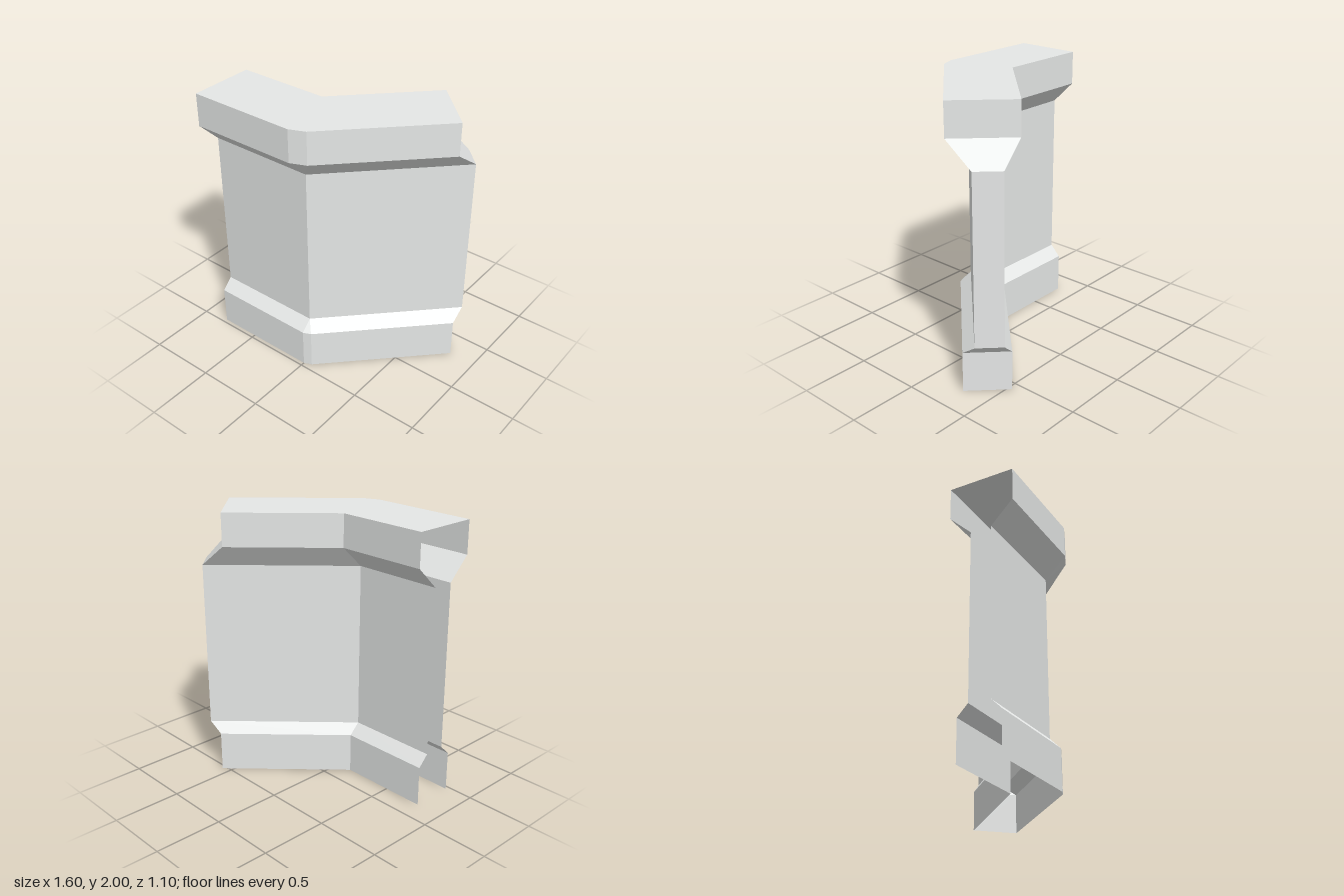
import * as THREE from 'three';

const FRONT = 0.39, END = 0.8;

// Plan outline of the bent wall: f is the push at the front,
// backZ the back of the straight run, w the x and z extent of the diagonal end
function outline(f, backZ, w) {
  const d = f * Math.SQRT1_2;
  const endZ = FRONT + f * Math.SQRT2 - END;
  const endX = END - w;
  return [
    [-END, backZ],                              // back, straight end
    [endX + (endZ - w) - backZ, backZ],         // back mitre
    [endX, endZ - w],                           // back, diagonal end
    [END, endZ],                                // front, diagonal end
    [d, FRONT + d], [0, FRONT + f],             // clipped front corner
    [-END, FRONT + f],                          // front, straight end
  ];
}

// Shell between two outlines; open at the straight end and underneath
function shell(lo, y0, hi, y1, topped) {
  const pos = [];
  const tri = (...pts) => pts.forEach(p => pos.push(...p));
  const same = (p, q) => Math.hypot(p[0] - q[0], p[2] - q[2]) < 1e-6;
  const A = lo.map(([x, z]) => [x, y0, z]);
  const B = hi.map(([x, z]) => [x, y1, z]);
  for (let i = 0; i < 6; i++) {
    if (!same(B[i], B[i + 1])) tri(A[i], B[i], B[i + 1]);
    if (!same(A[i], A[i + 1])) tri(A[i], B[i + 1], A[i + 1]);
  }
  if (topped) {
    for (const t of [[0, 6, 5], [0, 5, 1], [1, 5, 4], [1, 4, 3], [1, 3, 2]]) tri(...t.map(i => B[i]));
  }
  const geo = new THREE.BufferGeometry();
  geo.setAttribute('position', new THREE.Float32BufferAttribute(pos, 3));
  geo.computeVertexNormals();
  return geo;
}

export function createModel() {
  const group = new THREE.Group();
  group.name = 'cornerWall';
  const stone = new THREE.MeshStandardMaterial({ color: 0xe6e8e7, side: THREE.DoubleSide, flatShading: true });
  stone.name = 'pale grey stone';

  const base = outline(0.08, 0.157, 0.235);
  const wall = outline(0, 0.235, 0.14);
  const cap = outline(0.16, 0.07, 0.333);

  // Bands from the ground up
  const bands = [
    ['base', base, 0, base, 0.297],
    ['baseSlope', base, 0.297, wall, 0.377],
    ['wall', wall, 0.377, wall, 1.6],
    ['capSlope', wall, 1.6, cap, 1.76],
    ['cap', cap, 1.76, cap, 2],
  ];
  for (const [name, lo, y0, hi, y1] of bands) {
    const mesh = new THREE.Mesh(shell(lo, y0, hi, y1, name === 'cap'), stone);
    mesh.name = name;
    group.add(mesh);
  }
  return group;
}
